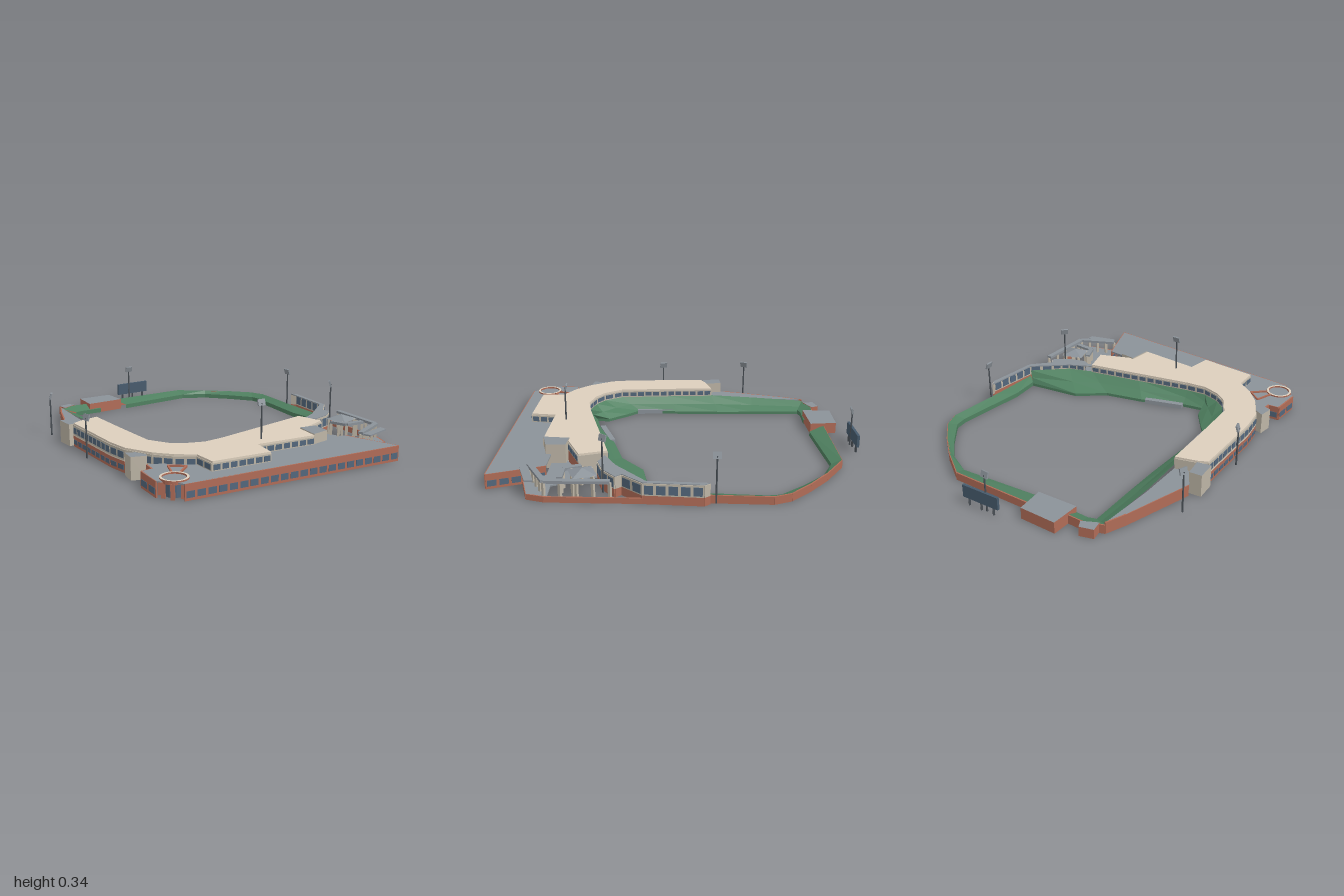
import * as THREE from 'three';

const mat = (color) => new THREE.MeshStandardMaterial({ color, flatShading: true, side: THREE.DoubleSide });
const M = {
  brick: mat(0xb06c57), tan: mat(0xdccfbd), pale: mat(0xbdb5a6), green: mat(0x4f8060),
  grey: mat(0x8b9299), glass: mat(0x53677c), dark: mat(0x4a5056), board: mat(0x465a6c),
};

export function createModel() {
  const model = new THREE.Group();
  const add = (name, geo, material, parent = model) => {
    const mesh = new THREE.Mesh(geo, material);
    mesh.name = name;
    parent.add(mesh);
    return mesh;
  };
  const group = (name) => {
    const g = new THREE.Group();
    g.name = name;
    model.add(g);
    return g;
  };
  // Plan outline [x, z] raised from y0 to y1, with an optional top in another material
  const slab = (name, pts, y0, y1, material, sides = material, hole = null) => {
    const shape = new THREE.Shape(pts.map(([x, z]) => new THREE.Vector2(x, -z)));
    if (hole) shape.holes.push(new THREE.Path().absarc(hole[0], -hole[1], hole[2], 0, Math.PI * 2, true));
    const geo = new THREE.ExtrudeGeometry(shape, { depth: y1 - y0, bevelEnabled: false, curveSegments: 16 });
    geo.rotateX(-Math.PI / 2).translate(0, y0, 0);
    return add(name, geo, [material, sides]);
  };
  // Straight bar between two plan points
  const bar = (name, a, b, y0, y1, thick, material, parent) => {
    const dx = b[0] - a[0], dz = b[1] - a[1];
    const m = add(name, new THREE.BoxGeometry(Math.hypot(dx, dz), y1 - y0, thick), material, parent);
    m.position.set((a[0] + b[0]) / 2, (y0 + y1) / 2, (a[1] + b[1]) / 2);
    m.rotation.y = -Math.atan2(dz, dx);
    return m;
  };
  const mix = (a, b, t) => [a[0] + (b[0] - a[0]) * t, a[1] + (b[1] - a[1]) * t];
  // Wall along a plan path, with an optional row of windows [bottom, top, pitch]
  const wall = (name, pts, y0, y1, material, win) => {
    const g = group(name);
    for (let i = 0; i < pts.length - 1; i++) {
      const a = pts[i], b = pts[i + 1];
      bar('wallPanel', a, b, y0, y1, 0.008, material, g);
      if (!win) continue;
      const n = Math.floor(Math.hypot(b[0] - a[0], b[1] - a[1]) / win[2]);
      for (let k = 0; k < n; k++)
        bar('window', mix(a, b, (k + 0.12) / n), mix(a, b, (k + 0.88) / n), win[0], win[1], 0.012, M.glass, g);
    }
  };
  // Surface lofted across rows of [x, y, z]
  const loft = (name, rows, material) => {
    const n = rows[0].length, idx = [];
    for (let r = 0; r < rows.length - 1; r++)
      for (let i = 0; i < n - 1; i++) {
        const a = r * n + i, c = a + n;
        idx.push(a, c, a + 1, a + 1, c, c + 1);
      }
    const geo = new THREE.BufferGeometry();
    geo.setAttribute('position', new THREE.Float32BufferAttribute(rows.flat(2), 3));
    geo.setIndex(idx);
    const flat = geo.toNonIndexed();
    flat.computeVertexNormals();
    add(name, flat, material);
  };
  const atY = (pts, y) => pts.map(([x, z], i) => [x, Array.isArray(y) ? y[i] : y, z]);

  // Main seating bowl, from left field round home plate to right field
  const roofInner = [[-0.64, 0.05], [-0.47, 0.26], [-0.29, 0.475], [-0.18, 0.52], [-0.1, 0.52],
    [0, 0.485], [0.08, 0.41], [0.28, 0.18], [0.48, -0.05]];
  const bowlOuter = [[-0.96, -0.41], [-0.79, -0.15], ...roofInner, [0.56, -0.17], [0.61, -0.4]];
  const bowlInner = [[-0.87, -0.43], [-0.7, -0.21], [-0.58, -0.05], [-0.44, 0.15], [-0.31, 0.35], [-0.22, 0.37],
    [-0.09, 0.41], [-0.05, 0.47], [0.04, 0.37], [0.17, 0.16], [0.31, -0.01], [0.36, -0.19], [0.57, -0.4]];
  const bowlTop = bowlOuter.map((p, i) => (i === 0 ? 0.055 : i === 1 ? 0.07 : 0.085));
  loft('seatingBowl', [
    atY(bowlOuter, bowlTop),
    bowlOuter.map((p, i) => {
      const [x, z] = mix(p, bowlInner[i], 0.5);
      return [x, bowlTop[i] * 0.45 + 0.008, z];
    }),
    atY(bowlInner, 0.016), atY(bowlInner, 0),
  ], M.green);
  [[[-0.45, 0.18], [-0.3, 0.36]], [[0.03, 0.36], [0.16, 0.18]]].forEach(([a, b]) =>
    bar('dugout', a, b, 0, 0.024, 0.03, M.grey));

  // Outfield bleachers and their outer brick wall
  const outer = [[-0.69, -0.69], [-0.31, -0.985], [-0.12, -0.995], [0.04, -0.985], [0.19, -0.96], [0.27, -0.91],
    [0.45, -0.64], [0.62, -0.4]];
  const inner = [[-0.6, -0.65], [-0.27, -0.945], [-0.12, -0.975], [0.04, -0.95], [0.2, -0.91], [0.25, -0.86],
    [0.46, -0.52], [0.57, -0.4]];
  loft('outfieldBleachers', [atY(outer, 0.045), atY(inner, 0.025), atY(inner, 0)], M.green);
  wall('outfieldWall', outer, 0, 0.042, M.brick);
  const cornerOut = [[-0.96, -0.41], [-0.9, -0.5], [-0.79, -0.58]];
  const cornerIn = [[-0.87, -0.43], [-0.85, -0.46], [-0.74, -0.54]];
  loft('cornerBleachers', [atY(cornerOut, 0.05), atY(cornerIn, 0.025), atY(cornerIn, 0)], M.green);
  wall('cornerWall', cornerOut, 0, 0.048, M.brick);

  // Flat-roofed blocks standing along the edge
  slab('outfieldBuilding', [[-0.89, -0.63], [-0.73, -0.75], [-0.63, -0.64], [-0.8, -0.5]], 0, 0.062, M.grey, M.brick);
  slab('cornerBlock', [[-0.985, -0.47], [-0.94, -0.53], [-0.9, -0.51], [-0.94, -0.43]], 0, 0.052, M.grey, M.brick);
  slab('leftBlock', [[-0.83, 0.115], [-0.78, 0.07], [-0.71, 0.14], [-0.76, 0.195]], 0, 0.122, M.grey, M.pale);
  slab('homeBlock', [[-0.375, 0.66], [-0.335, 0.73], [-0.26, 0.7], [-0.28, 0.64]], 0, 0.118, M.grey, M.pale);
  slab('rightBlock', [[0.48, 0.21], [0.56, 0.165], [0.62, 0.25], [0.55, 0.33]], 0, 0.136, M.grey, M.pale);

  // Left concourse
  slab('leftConcourse', [[-0.955, -0.4], [-0.93, -0.3], [-0.8, 0.06], [-0.71, 0.14], [-0.64, 0.05], [-0.79, -0.15]],
    0.055, 0.062, M.grey);
  wall('leftConcourseWall', [[-0.96, -0.41], [-0.93, -0.3], [-0.8, 0.06]], 0, 0.062, M.brick);

  // Grandstand: roof, window band over the seats and outer facades
  const leftFace = [[-0.71, 0.14], [-0.735, 0.19], [-0.47, 0.53], [-0.38, 0.62], [-0.235, 0.685], [-0.13, 0.705], [-0.02, 0.7]];
  const rightFace = [[-0.02, 0.7], [0.06, 0.8], [0.33, 0.63], [0.265, 0.51], [0.55, 0.33], [0.5, 0.2], [0.6, 0.04]];
  slab('grandstandRoof', [...roofInner, ...rightFace.slice().reverse(), ...leftFace.slice(0, -1).reverse()],
    0.12, 0.13, M.tan);
  wall('pressBoxWindows', roofInner, 0.083, 0.12, M.pale, [0.09, 0.113, 0.045]);
  wall('leftLowerFacade', leftFace, 0, 0.06, M.brick, [0.015, 0.04, 0.05]);
  wall('leftTrim', leftFace, 0.06, 0.066, M.tan);
  wall('leftUpperFacade', leftFace, 0.066, 0.12, M.pale, [0.075, 0.108, 0.045]);
  wall('rightLowerFacade', rightFace, 0, 0.08, M.brick);
  wall('rightUpperFacade', rightFace, 0.08, 0.12, M.pale, [0.086, 0.113, 0.045]);
  wall('grandstandEnds', [[0.48, -0.05], [0.6, 0.04]], 0, 0.12, M.pale);
  wall('grandstandEnds', [[-0.64, 0.05], [-0.71, 0.14]], 0.06, 0.12, M.pale);

  // Entrance deck over the brick street front
  const deckEdge = [[0.725, 0.15], [0.98, 0.32], [-0.05, 0.985], [-0.1, 0.96], [-0.18, 0.955], [-0.27, 0.82],
    [-0.225, 0.78], [-0.26, 0.72]];
  slab('entranceDeck', [...deckEdge, [-0.13, 0.69], [0, 0.62], [0.2, 0.46], [0.5, 0.25], [0.6, 0.23]], 0.074, 0.081, M.grey);
  wall('streetFront', deckEdge.slice(0, 3), 0, 0.081, M.brick, [0.014, 0.046, 0.055]);
  wall('entranceSide', deckEdge.slice(4), 0, 0.081, M.brick, [0.014, 0.046, 0.055]);
  wall('deckTrim', deckEdge.slice(1, 3), 0.052, 0.057, M.brick);

  // Round entrance tower with open bays and a bridge
  const [cx, cz, r] = [-0.105, 0.905, 0.07];
  const circle = Array.from({ length: 24 }, (_, i) => {
    const a = (i / 24) * Math.PI * 2;
    return [cx + r * Math.cos(a), cz + r * Math.sin(a)];
  });
  slab('rotundaRim', circle, 0.07, 0.089, M.tan, M.brick, [cx, cz, r - 0.012]);
  for (let i = 0; i < 24; i += 3)
    add('rotundaColumn', new THREE.BoxGeometry(0.02, 0.075, 0.02), M.brick).position.set(
      cx + (circle[i][0] - cx) * 0.92, 0.0375, cz + (circle[i][1] - cz) * 0.92);
  add('rotundaCore', new THREE.CylinderGeometry(0.045, 0.045, 0.074, 16), M.glass).position.set(cx, 0.037, cz);
  const bridge = [[-0.125, 0.84], [-0.155, 0.745], [-0.065, 0.745], [-0.085, 0.84]];
  wall('bridgeRail', bridge, 0.08, 0.09, M.brick);

  // Right field arcade with tall windows
  const arcade = [[0.45, -0.66], [0.485, -0.65], [0.64, -0.4], [0.625, -0.26], [0.665, -0.25], [0.64, -0.15], [0.58, -0.07]];
  wall('arcadeFace', arcade, 0, 0.045, M.brick);
  wall('arcadeWindows', arcade, 0.045, 0.108, M.pale, [0.052, 0.098, 0.05]);
  slab('arcadeRoof', [...arcade, [0.5, -0.05], [0.56, -0.17], [0.615, -0.4]], 0.106, 0.112, M.grey);

  // Terrace with pergola and pavilion
  slab('terrace', [[0.58, -0.07], [0.66, -0.04], [0.8, 0.05], [0.9, -0.02], [0.94, 0.08], [0.83, 0.21], [0.725, 0.15],
    [0.6, 0.23], [0.52, 0.2], [0.6, 0.04]], 0.022, 0.03, M.grey);
  wall('terraceWall', [[0.64, -0.4], [0.91, -0.01], [0.94, 0.08], [0.83, 0.21]], 0, 0.03, M.brick);
  const pergola = (pts, n) => pts.slice(1).forEach((b, j) => {
    const a = pts[j];
    bar('pergolaBeam', a, b, 0.098, 0.112, 0.028, M.grey);
    for (let k = 0; k <= n; k++) {
      const [x, z] = mix(a, b, k / n);
      add('pergolaColumn', new THREE.BoxGeometry(0.014, 0.1, 0.014), M.pale).position.set(x, 0.05, z);
    }
  });
  pergola([[0.715, -0.26], [0.9, 0], [0.8, 0.19]], 4);
  pergola([[0.66, -0.03], [0.74, 0.02], [0.83, -0.04]], 2);
  slab('terraceCanopy', [[0.92, 0.05], [0.945, 0.085], [0.85, 0.21], [0.81, 0.19]], 0.094, 0.102, M.grey);
  const pavilion = add('pavilionRoof', new THREE.ConeGeometry(0.088, 0.026, 4), M.grey);
  pavilion.position.set(0.72, 0.121, -0.09);
  pavilion.rotation.y = 0.15;
  [[-1, 0], [1, 0], [0, -1], [0, 1]].forEach(([dx, dz]) =>
    add('pavilionPost', new THREE.BoxGeometry(0.012, 0.11, 0.012), M.pale).position.set(0.72 + dx * 0.07, 0.055, -0.09 + dz * 0.07));

  // Scoreboard on posts
  const [sa, sb] = [[-0.685, -0.845], [-0.52, -0.98]];
  bar('scoreboard', sa, sb, 0.04, 0.108, 0.014, M.board);
  [0.15, 0.5, 0.85].forEach((t) => {
    const [x, z] = mix(sa, sb, t);
    add('scoreboardPost', new THREE.BoxGeometry(0.01, 0.05, 0.01), M.dark).position.set(x, 0.025, z);
  });

  // Floodlights turned toward the field
  [[-0.915, 0.245, -0.015], [-0.62, 0.237, 0.4], [0.28, 0.337, 0.415], [0.425, 0.267, -0.68],
    [0.66, 0.308, -0.17], [-0.62, 0.222, -0.89]].forEach(([x, top, z]) => {
    const g = group('floodlight');
    g.position.set(x, 0, z);
    g.rotation.y = Math.atan2(-0.15 - x, -0.2 - z);
    add('pole', new THREE.CylinderGeometry(0.004, 0.005, top - 0.02, 8), M.dark, g).position.y = (top - 0.02) / 2;
    const head = add('lampHead', new THREE.BoxGeometry(0.042, 0.034, 0.009), M.grey, g);
    head.position.set(0, top - 0.018, 0.004);
    head.rotation.x = 0.3;
  });
  return model;
}
